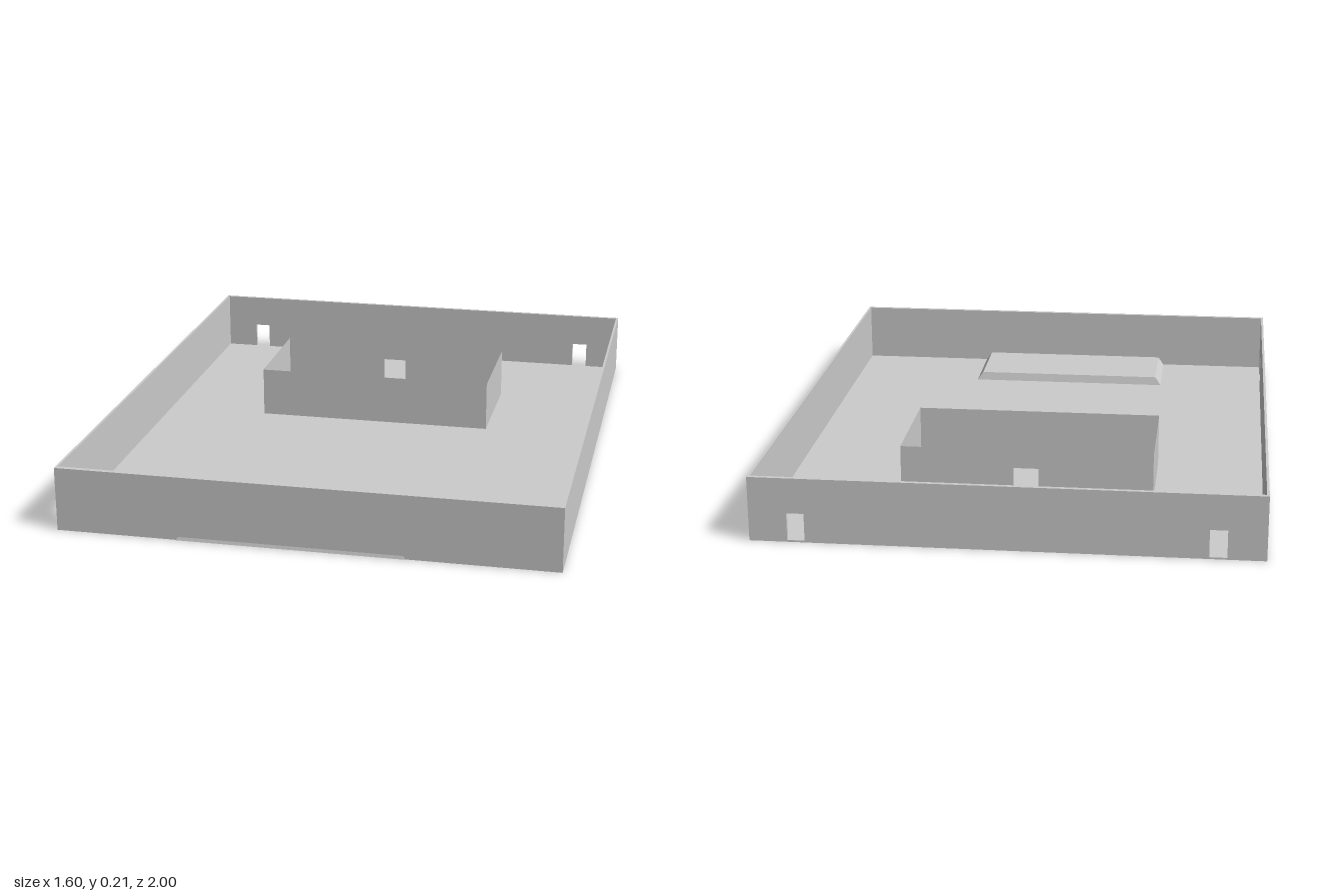
import * as THREE from 'three';

const FLOOR = 0.006, TOP = 0.21;

// Upright wall outline from a to b, with floor-level doorways [from, to, height] in rising order
function wallShape(a, b, top, doors = []) {
  const s = new THREE.Shape();
  s.moveTo(a, FLOOR);
  for (const [d0, d1, h] of doors) {
    s.lineTo(d0, FLOOR);
    s.lineTo(d0, h);
    s.lineTo(d1, h);
    s.lineTo(d1, FLOOR);
  }
  s.lineTo(b, FLOOR);
  s.lineTo(b, top);
  s.lineTo(a, top);
  return s;
}

export function createModel() {
  const group = new THREE.Group();
  const solid = new THREE.MeshStandardMaterial({ color: 0xcccccc, flatShading: true });
  const thin = new THREE.MeshStandardMaterial({ color: 0xcccccc, flatShading: true, side: THREE.DoubleSide });

  const add = (name, geometry, material = solid) => {
    const mesh = new THREE.Mesh(geometry, material);
    mesh.name = name;
    group.add(mesh);
    return mesh;
  };
  const extrude = (shape, depth) => new THREE.ExtrudeGeometry(shape, { depth, bevelEnabled: false });

  // Floor slab
  const W = 0.8, BACK = -1, FRONT = 0.997;
  add('floor', new THREE.BoxGeometry(2 * W, FLOOR, FRONT - BACK)
    .translate(0, FLOOR / 2, (FRONT + BACK) / 2));

  // Outer walls: two small doors at the back, one wide door on the -x side
  const tSide = 0.008, tBack = 0.014, tFront = 0.016;
  const backDoors = [[-0.68, -0.625, 0.095], [0.625, 0.68, 0.095]];
  add('backWall', extrude(wallShape(-W, W, TOP, backDoors), tBack).translate(0, 0, BACK));
  add('frontWall', extrude(wallShape(-W, W, TOP), tFront).translate(0, 0, FRONT - tFront));
  const z0 = BACK + tBack, z1 = FRONT - tFront;
  // rotateY(-90 degrees) runs the outline along z and the thickness along -x
  add('rightWall', extrude(wallShape(z0, z1, TOP, [[0.74, 0.885, 0.095]]), tSide)
    .rotateY(-Math.PI / 2).translate(-W + tSide, 0, 0));
  add('leftWall', extrude(wallShape(z0, z1, TOP), tSide)
    .rotateY(-Math.PI / 2).translate(W, 0, 0));

  // Inner room of sheet-thin walls, doorway towards the back
  const rx0 = -0.435, rx1 = 0.395, rz0 = -0.58, rz1 = -0.18, rTop = 0.177;
  const sheet = (...args) => new THREE.ShapeGeometry(wallShape(...args));
  add('roomBackWall', sheet(rx0, rx1, rTop, [[-0.06, 0.022, 0.115]]).translate(0, 0, rz0), thin);
  add('roomFrontWall', sheet(rx0, rx1, rTop).translate(0, 0, rz1), thin);
  for (const [name, x] of [['roomRightWall', rx0], ['roomLeftWall', rx1]]) {
    add(name, sheet(rz0, rz1, rTop).rotateY(-Math.PI / 2).translate(x, 0, 0), thin);
  }

  // Low platform with sloped sides, running under the front wall
  const platform = new THREE.BoxGeometry(1, 1, 1);
  const p = platform.attributes.position;
  for (let i = 0; i < p.count; i++) {
    const up = p.getY(i) > 0;
    const x = p.getX(i) > 0 ? (up ? 0.295 : 0.32) : (up ? -0.385 : -0.41);
    const z = p.getZ(i) > 0 ? (up ? 0.99 : 1) : (up ? 0.71 : 0.7);
    p.setXYZ(i, x, up ? 0.035 : 0, z);
  }
  platform.computeVertexNormals();
  add('platform', platform);

  return group;
}
